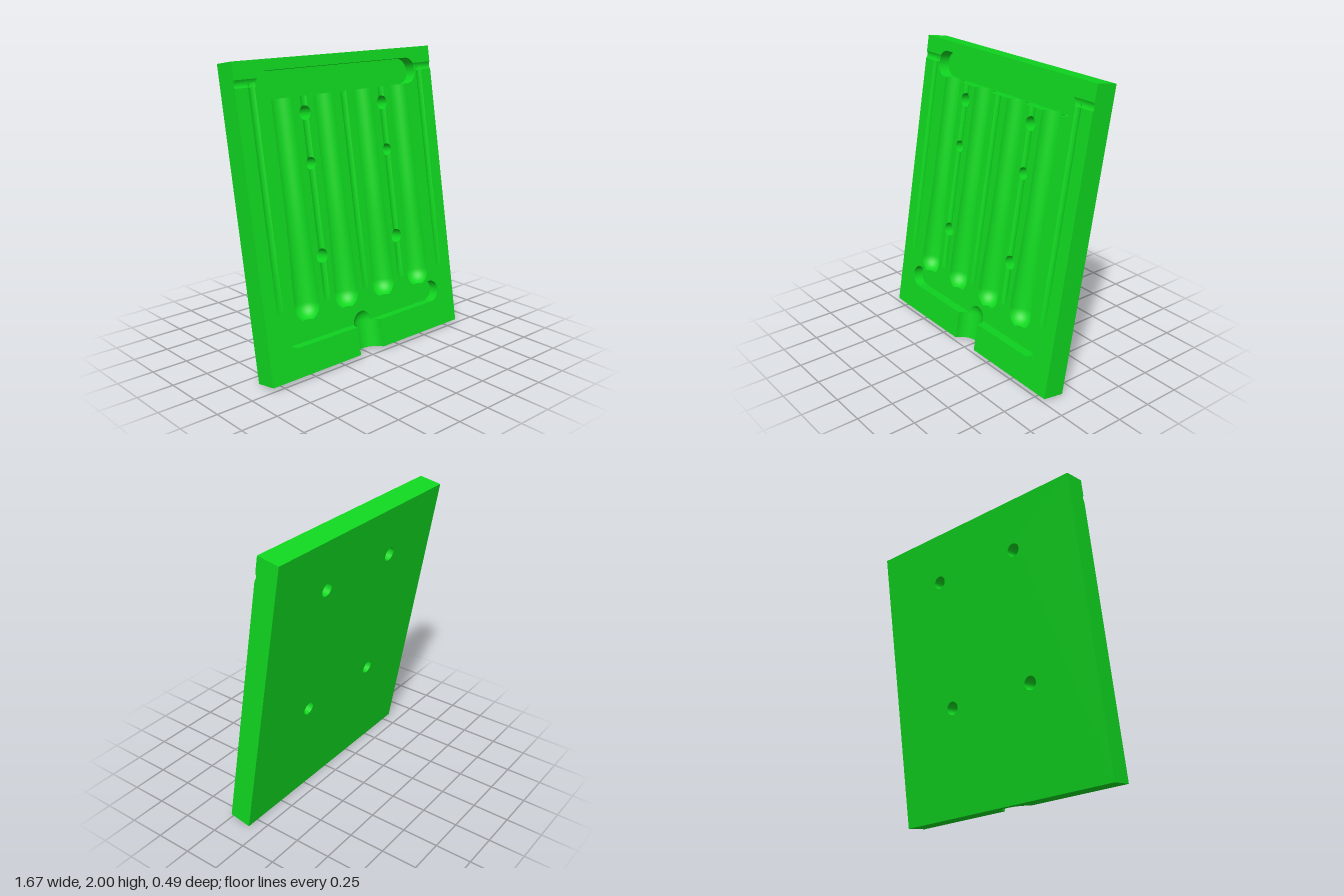
import * as THREE from 'three';
import { ParametricGeometry } from 'three/addons/geometries/ParametricGeometry.js';

// Plate frame: y runs up the plate from its lower edge, z = 0 is the front face
const W = 0.835, L = 2.003, T = 0.155, TILT = 0.171;
const GROOVES = [-0.5, -0.167, 0.167, 0.5];
const HOLES = [{ y: 1.65, r: 0.046, depth: T }, { y: 1.33, r: 0.04, depth: 0.09 }, { y: 0.73, r: 0.046, depth: T }];
const HOLE_X = 0.3335;
const TOP = { y0: 1.756, y1: 1.933, depth: 0.085, x: 0.68 };
const LOW = { y0: 0.193, y1: 0.345, depth: 0.073, x: 0.68 };
const SPRUE = 0.105, DOME_Y = 0.439, GATE = 0.035;
const VENT = 0.025, VENT_Y = 1.867, VENT_X = 0.715, VENT_START = 0.44;

const mat = new THREE.MeshStandardMaterial({ color: 0x10d820, side: THREE.DoubleSide });
const range = (n, f) => Array.from({ length: n + 1 }, (_, i) => f(i / n));
const mirror = pts => pts.map(([x, y]) => [-x, y]).reverse();
const shapeOf = pts => new THREE.Shape(pts.map(([x, y]) => new THREE.Vector2(x, y)));
const ventZ = d => (Math.abs(d) < VENT ? -0.008 * (1 - (d / VENT) ** 2) : 0);

// Rounded right end of a pocket, from its lower to its upper edge
function pocketEnd(p) {
  const r = (p.y1 - p.y0) / 2, cy = (p.y0 + p.y1) / 2;
  return range(32, t => {
    const a = (t - 0.5) * Math.PI;
    return [p.x - r + r * Math.cos(a), cy + r * Math.sin(a)];
  });
}
const topEndX = y => {
  const r = (TOP.y1 - TOP.y0) / 2;
  return TOP.x - r + Math.sqrt(Math.max(0, r * r - (y - TOP.y0 - r) ** 2));
};

// Groove radius: round lower end, gentle taper, straight upper part
function grooveR(y) {
  if (y < DOME_Y) return Math.sqrt(0.01 - (y - DOME_Y) ** 2);
  return 0.1 - 0.017 * THREE.MathUtils.smoothstep(y, DOME_Y, 1.1);
}
const domeA = Math.asin((DOME_Y - LOW.y1) / 0.1);
const grooveYs = [
  ...range(10, t => DOME_Y - 0.1 * Math.sin(domeA * (1 - t))),
  ...range(20, t => DOME_Y + (TOP.y0 - DOME_Y) * t).slice(1),
];

// Right-hand side of a vent that runs down through the mounting holes
function ventSide(m, drilled) {
  const pts = [[VENT, TOP.y0]];
  if (drilled) for (const h of HOLES) {
    const a = Math.acos(VENT / h.r);
    pts.push(...range(20, t => [h.r * Math.cos(a * (1 - 2 * t)), h.y + h.r * Math.sin(a * (1 - 2 * t))]));
  }
  pts.push([VENT, VENT_START]);
  return [...pts, ...mirror(pts)].map(([x, y]) => [x + m, y]);
}

export function createModel() {
  const group = new THREE.Group();
  const plate = new THREE.Group();
  plate.name = 'mouldPlate';
  group.add(plate);

  const add = (name, geo) => {
    const mesh = new THREE.Mesh(geo, mat);
    mesh.name = name;
    plate.add(mesh);
    return mesh;
  };
  const flat = (name, pts, z = 0) => add(name, new THREE.ShapeGeometry(shapeOf(pts)).translate(0, 0, z));
  // Flat face across the plate, drawn in x and z
  const across = (name, pts, y) => add(name, new THREE.ShapeGeometry(shapeOf(pts)).rotateX(Math.PI / 2).translate(0, y, 0));
  const surface = (name, nu, nv, f) => {
    const geo = new ParametricGeometry((u, v, p) => p.set(...f(u, v)), nu, nv);
    geo.computeVertexNormals();
    return add(name, geo);
  };
  // Half-round channel along y, kept only below minDepth
  const trough = (name, xc, ys, rAt, minDepth = 0) => surface(name, 28, ys.length - 1, (u, v) => {
    const i = Math.min(ys.length - 1, Math.max(0, Math.round(v * (ys.length - 1))));
    const r = rAt(ys[i]), a0 = Math.asin(Math.min(1, minDepth / r));
    const a = a0 + (Math.PI - 2 * a0) * u;
    return [xc - r * Math.cos(a), ys[i], -r * Math.sin(a)];
  });
  const wall = (name, path, depth, topZ = () => 0) => surface(name, path.length - 1, 1, (u, v) => {
    const [x, y] = path[Math.min(path.length - 1, Math.max(0, Math.round(u * (path.length - 1))))];
    return [x, y, v < 0.5 ? topZ(x, y) : -depth];
  });

  const topEnd = pocketEnd(TOP), lowEnd = pocketEnd(LOW);
  const vLow = VENT_Y - VENT, vHigh = VENT_Y + VENT;

  // Front face: strip above the upper pocket
  const capArc = [[W, vHigh], [topEndX(vHigh), vHigh], ...topEnd.filter(p => p[1] > vHigh)];
  flat('frontTop', [[-W, L], ...mirror(capArc).reverse(), ...[...capArc].reverse(), [W, L]]);

  // Front face: outer strips on both sides
  const side = [
    [W, vLow], [W, 0], [SPRUE, 0], [SPRUE, LOW.y0], ...lowEnd,
    ...grooveYs.map(y => [GROOVES[3] + grooveR(y), y]),
    ...topEnd.filter(p => p[1] < vLow), [topEndX(vLow), vLow],
    [VENT_X - VENT, vLow], [VENT_X - VENT, VENT_START], [VENT_X + VENT, VENT_START], [VENT_X + VENT, vLow],
  ];
  flat('frontLeft', side);
  flat('frontRight', mirror(side));

  // Front face: lands between the grooves, each with its vent
  for (let i = 0; i < 3; i++) {
    const a = GROOVES[i], b = GROOVES[i + 1], m = i === 1 ? 0 : Math.sign(a + b) * HOLE_X;
    flat('land', [
      ...grooveYs.map(y => [b - grooveR(y), y]),
      ...ventSide(m, i !== 1),
      ...[...grooveYs].reverse().map(y => [a + grooveR(y), y]),
    ]);
  }

  // Half-round grooves
  for (const x of GROOVES) trough('groove', x, grooveYs, grooveR);

  // Upper pocket
  const topRim = [...topEnd, ...mirror(topEnd).slice(0)];
  wall('upperPocketWall', topRim, TOP.depth, (x, y) => ventZ(y - VENT_Y) * (Math.abs(x) > 0.6 ? 1 : 0));
  flat('upperPocketFloor', topRim, -TOP.depth);

  // Pocket walls with round openings into the grooves
  const notched = (name, y, x, depth, r) => across(name, [
    [-x, -depth], [-x, 0],
    ...GROOVES.flatMap(c => range(24, t => [c - r * Math.cos(Math.PI * t), -r * Math.sin(Math.PI * t)])),
    [x, 0], [x, -depth],
  ], y);
  notched('upperPocketLedge', TOP.y0, topEnd[0][0], TOP.depth, grooveR(TOP.y0));
  notched('gateWall', LOW.y1, lowEnd[0][0], LOW.depth, GATE);

  // Lower pocket, opened by the pouring channel
  const sr = Math.sqrt(SPRUE ** 2 - LOW.depth ** 2), sa = Math.asin(LOW.depth / SPRUE);
  flat('lowerPocketFloor', [
    ...lowEnd, ...mirror(lowEnd),
    ...range(24, t => [-sr * Math.cos(Math.PI * t), LOW.y0 + sr * Math.sin(Math.PI * t)]),
  ], -LOW.depth);
  const lip = [
    ...range(10, t => [SPRUE * Math.cos(sa * t), -SPRUE * Math.sin(sa * t)]),
    [lowEnd[0][0], -LOW.depth], [lowEnd[0][0], 0],
  ];
  for (const f of [p => p, mirror]) {
    wall('lowerPocketEnd', f(lowEnd), LOW.depth);
    across('lowerPocketLip', f(lip), LOW.y0);
  }

  // Pouring channel and its domed end
  trough('pouringChannel', 0, [0, LOW.y0], () => SPRUE);
  trough('pouringDome', 0, range(12, t => LOW.y0 + sr * Math.sin(t * Math.PI / 2)),
    y => Math.sqrt(SPRUE ** 2 - (y - LOW.y0) ** 2), LOW.depth);

  // Shallow vents, cut off by the holes they cross
  const vent = (x, lo, hi, taper) => surface('vent', 8, 4, (u, v) => {
    const d = VENT * (2 * u - 1);
    return [x + d, lo(d) + (hi(d) - lo(d)) * v, taper && v < 0.01 ? 0 : ventZ(d)];
  });
  const chord = (h, d) => Math.sqrt(h.r ** 2 - d * d);
  vent(0, () => VENT_START, () => TOP.y0, true);
  for (const s of [-1, 1]) {
    const [h0, h1, h2] = HOLES, x = s * HOLE_X;
    vent(x, () => VENT_START, d => h2.y - chord(h2, d), true);
    vent(x, d => h2.y + chord(h2, d), d => h1.y - chord(h1, d));
    vent(x, d => h1.y + chord(h1, d), d => h0.y - chord(h0, d));
    vent(x, d => h0.y + chord(h0, d), () => TOP.y0);
    vent(s * VENT_X, () => VENT_START, () => VENT_Y, true);
    surface('edgeVent', 8, 1, (u, v) => {
      const d = VENT * (2 * u - 1), x0 = topEndX(VENT_Y + d);
      return [s * (x0 + (W - x0) * v), VENT_Y + d, ventZ(d)];
    });
    // Mounting holes
    for (const h of HOLES) {
      surface('holeWall', 32, 1, (u, v) => {
        const dx = h.r * Math.cos(u * 2 * Math.PI);
        return [x + dx, h.y + h.r * Math.sin(u * 2 * Math.PI), v < 0.5 ? ventZ(dx) : -h.depth];
      });
      if (h.depth < T) add('holeFloor', new THREE.CircleGeometry(h.r, 32).translate(x, h.y, -h.depth));
    }
    // Plate sides, nicked where the vent leaves
    const edge = [[-T, 0], [0, 0], ...range(8, t => [ventZ(VENT * (2 * t - 1)), VENT_Y + VENT * (2 * t - 1)]), [0, L], [-T, L]];
    add('plateSide', new THREE.ShapeGeometry(shapeOf(edge)).rotateY(-Math.PI / 2).translate(s * W, 0, 0));
  }

  // Upper and lower edges and the drilled back
  across('plateTop', [[-W, -T], [W, -T], [W, 0], [-W, 0]], L);
  across('plateBottom', [
    [-W, -T], [-W, 0], ...range(28, t => [-SPRUE * Math.cos(Math.PI * t), -SPRUE * Math.sin(Math.PI * t)]), [W, 0], [W, -T],
  ], 0);
  const back = shapeOf([[-W, 0], [W, 0], [W, L], [-W, L]]);
  for (const s of [-1, 1]) for (const h of HOLES) if (h.depth === T) {
    back.holes.push(new THREE.Path().absarc(s * HOLE_X, h.y, h.r, 0, 2 * Math.PI, true));
  }
  add('plateBack', new THREE.ShapeGeometry(back, 16).rotateY(Math.PI).translate(0, 0, -T));

  // Lean the plate backwards and stand it on the ground
  plate.rotation.x = -TILT;
  plate.position.set(0, T * Math.sin(TILT), (L * Math.sin(TILT) + T * Math.cos(TILT)) / 2);
  return group;
}
